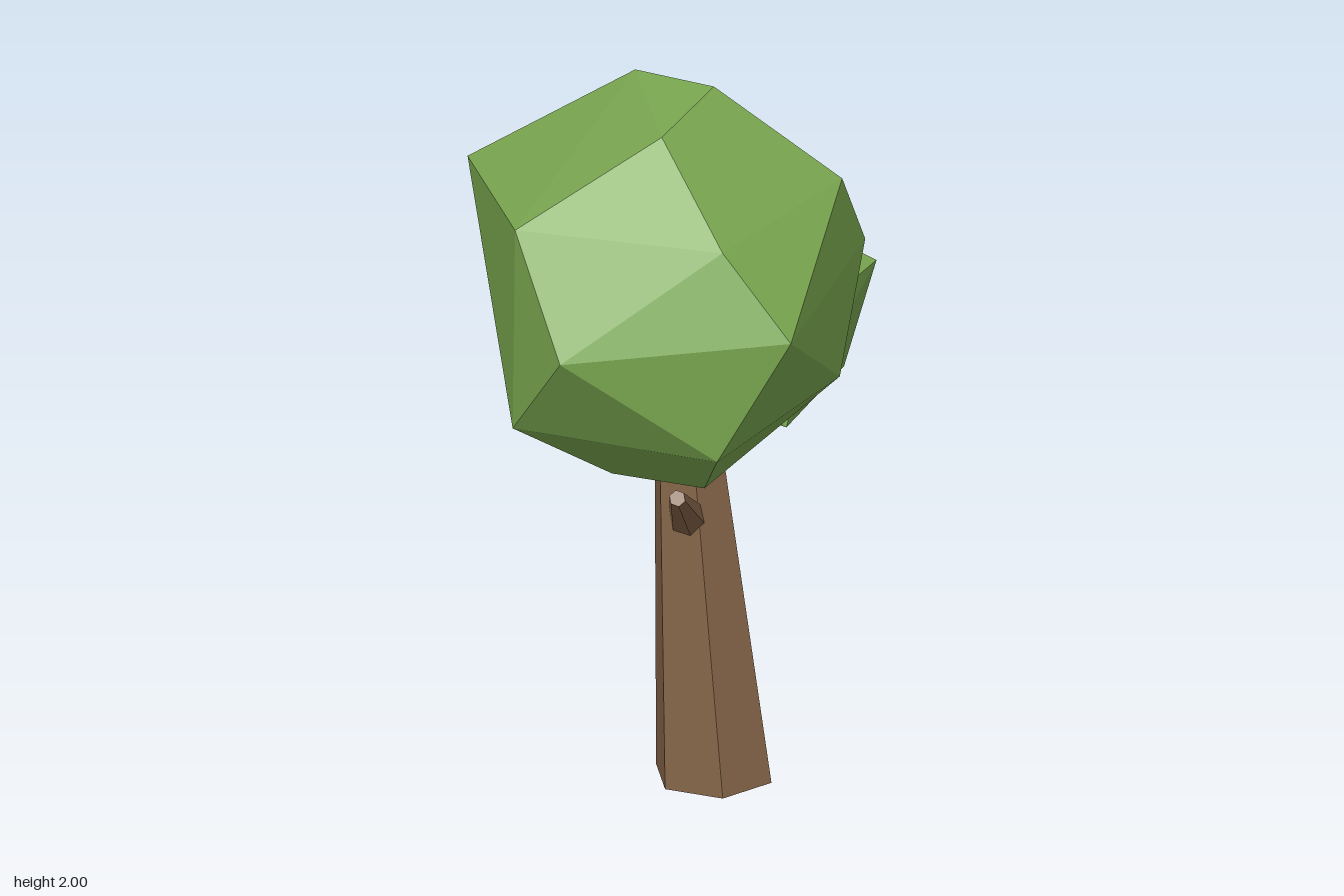
import * as THREE from 'three';
import { ConvexGeometry } from 'three/addons/geometries/ConvexGeometry.js';

const bark = new THREE.MeshStandardMaterial({ color: 0x856549, flatShading: true });
const leaf = new THREE.MeshStandardMaterial({ color: 0x7aa850, flatShading: true });

// Faceted leaf clump: convex hull of a few corners
function clump(name, corners) {
  const mesh = new THREE.Mesh(new ConvexGeometry(corners.map(c => new THREE.Vector3(...c))), leaf);
  mesh.name = name;
  return mesh;
}

// Tapered six-sided limb between two points
function limb(name, from, to, r0, r1) {
  const a = new THREE.Vector3(...from), b = new THREE.Vector3(...to);
  const dir = b.clone().sub(a);
  const mesh = new THREE.Mesh(new THREE.CylinderGeometry(r1, r0, dir.length(), 6), bark);
  mesh.quaternion.setFromUnitVectors(new THREE.Vector3(0, 1, 0), dir.normalize());
  mesh.position.copy(a).add(b).multiplyScalar(0.5);
  mesh.name = name;
  return mesh;
}

// Trunk leans by shearing, so that its foot stays flat on the ground
function trunk() {
  const h = 1.15;
  const g = new THREE.CylinderGeometry(0.08, 0.162, h, 6).translate(0, h / 2, 0);
  const p = g.attributes.position;
  for (let i = 0; i < p.count; i++) {
    const t = p.getY(i) / h;
    p.setX(i, p.getX(i) - 0.02 - 0.058 * t);
    p.setZ(i, p.getZ(i) - 0.047 + 0.057 * t);
  }
  g.computeVertexNormals();
  const mesh = new THREE.Mesh(g, bark);
  mesh.name = 'trunk';
  return mesh;
}

export function createModel() {
  const tree = new THREE.Group();
  tree.name = 'tree';
  tree.add(
    trunk(),
    limb('frontBranch', [-0.02, 0.755, 0.04], [0.31, 1.01, 0.335], 0.05, 0.022),
    limb('backBranch', [-0.1, 0.74, -0.05], [-0.3, 1.0, -0.2], 0.045, 0.02),
    clump('mainCrown', [
      // top
      [-0.19, 1.99, 0.08], [0.04, 2.0, 0], [0.175, 1.98, 0.28],
      // shoulder
      [-0.42, 1.74, -0.21], [0.27, 1.75, -0.245], [0.45, 1.75, 0.295], [0, 1.75, 0.63], [-0.51, 1.715, 0.385],
      // waist
      [-0.63, 1.445, 0.13], [0.12, 1.47, -0.44], [0.63, 1.53, 0.21], [0.24, 1.46, 0.67],
      // underside
      [-0.55, 1.29, 0.27], [-0.01, 1.18, 0.63], [0.49, 1.18, 0.345], [0.26, 1.18, -0.245],
      [-0.39, 1.08, 0], [-0.06, 0.93, 0.26], [0.19, 0.945, 0.15],
    ]),
    clump('smallCrown', [
      [-0.27, 1.46, -0.385],
      // upper ring
      [-0.45, 1.245, -0.63], [-0.13, 1.255, -0.675], [0.03, 1.255, -0.34], [-0.22, 1.22, -0.1], [-0.545, 1.27, -0.22],
      // lower ring
      [-0.58, 1.0, -0.385], [-0.21, 0.935, -0.63], [0.01, 0.94, -0.265], [-0.33, 0.99, -0.1],
      [-0.235, 0.87, -0.335],
    ]),
  );
  return tree;
}
